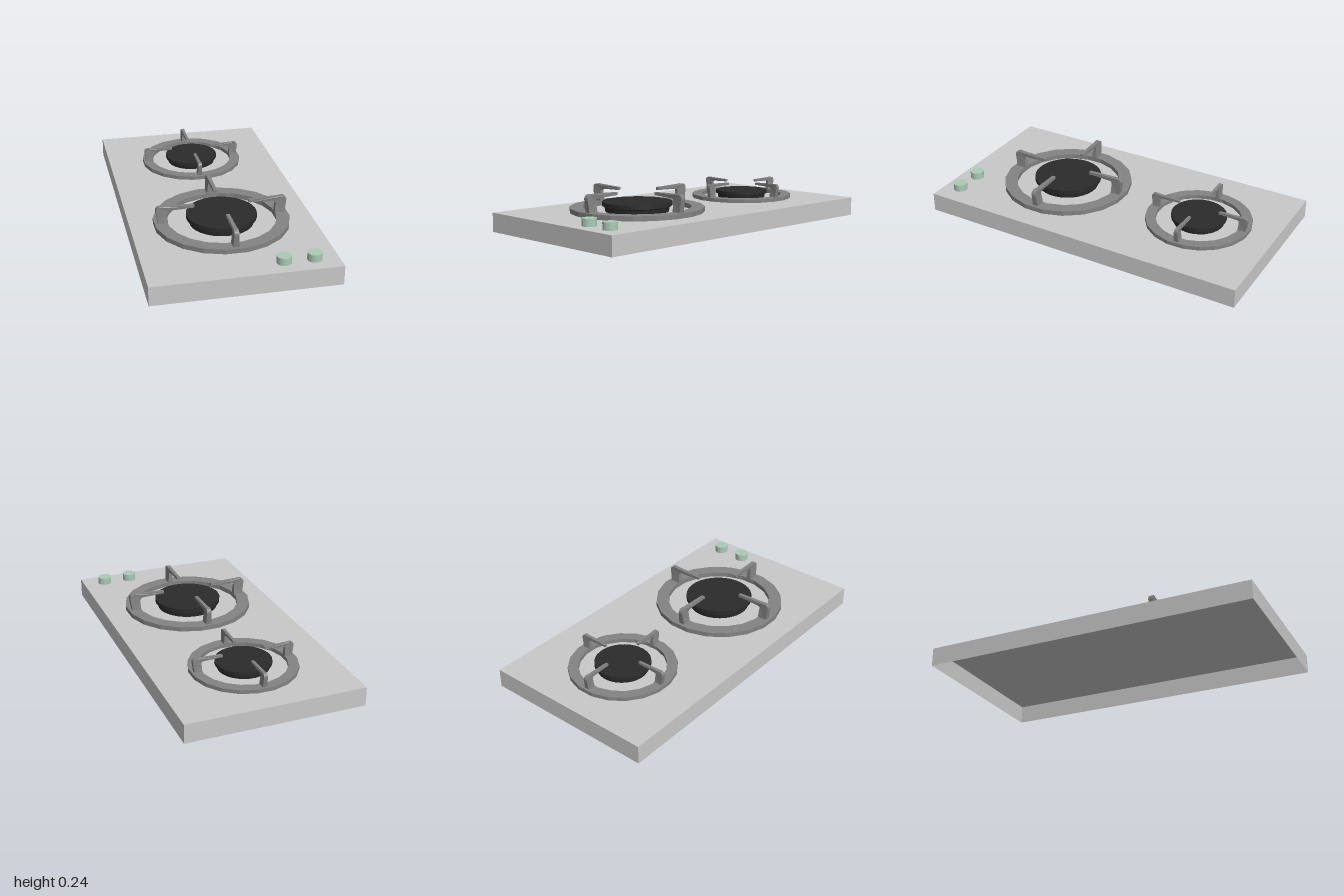
import * as THREE from 'three';

const DECK = 0.112; // height of the worktop surface

const material = (name, color) => {
  const m = new THREE.MeshStandardMaterial({ color });
  m.name = name;
  return m;
};

// Split vertices so every facet gets its own normal
function flat(geometry) {
  const g = geometry.index ? geometry.toNonIndexed() : geometry;
  g.computeVertexNormals();
  return g;
}

function addMesh(parent, name, geometry, mat) {
  const mesh = new THREE.Mesh(geometry, mat);
  mesh.name = name;
  parent.add(mesh);
  return mesh;
}

function lathe(points, sides) {
  const profile = points.map(([r, y]) => new THREE.Vector2(r, y));
  return flat(new THREE.LatheGeometry(profile, sides, Math.PI / sides));
}

// Hooked pan support: upright leg, rounded shoulder, thin arm reaching inward
function supportGeometry() {
  const s = new THREE.Shape();
  s.moveTo(0.312, 0.028);
  s.lineTo(0.369, 0.028);
  s.lineTo(0.38, 0.104);
  s.quadraticCurveTo(0.38, 0.13, 0.352, 0.13);
  s.lineTo(0.335, 0.129);
  s.lineTo(0.158, 0.124);
  s.lineTo(0.158, 0.108);
  s.lineTo(0.3, 0.103);
  s.quadraticCurveTo(0.316, 0.102, 0.316, 0.09);
  s.closePath();
  const g = new THREE.ExtrudeGeometry(s, { depth: 1, bevelEnabled: false, curveSegments: 4 });
  const p = g.attributes.position;
  for (let i = 0; i < p.count; i++) {
    // Narrow arm, wider shoulder, leg flaring toward its foot
    const x = p.getX(i), y = p.getY(i);
    const half = x < 0.34 && y > 0.08 ? 0.0105 : 0.013 + 0.004 * (0.13 - y) / 0.1;
    p.setZ(i, p.getZ(i) > 0.5 ? half : -half);
  }
  return flat(g);
}

export function createModel() {
  const model = new THREE.Group();
  model.name = 'gasHob';

  const steel = material('brushedSteel', 0xc8c8c8);
  steel.side = THREE.DoubleSide;
  const iron = material('greyIron', 0x838383);
  const black = material('blackEnamel', 0x2b2b2b);
  const green = material('paleGreen', 0xabcab6);

  // Housing: a thin tray, open underneath
  const tray = new THREE.BoxGeometry(1.05, DECK, 2);
  tray.setIndex([...tray.index.array].filter((_, i) => i < 18 || i >= 24));
  tray.clearGroups();
  addMesh(model, 'housing', tray, steel).position.y = DECK / 2;

  // Shared burner parts, measured from the worktop
  const ring = lathe([[0.392, 0], [0.392, 0.028], [0.316, 0.028], [0.316, 0]], 20);
  const base = lathe([[0.185, 0], [0.19, 0.028], [0.19, 0.032]], 32);
  const cap = lathe([[0.19, 0.028], [0.203, 0.034], [0.203, 0.058], [0, 0.058]], 32);
  const support = supportGeometry();

  for (const [name, z, scale] of [['frontBurner', 0.36, 1], ['rearBurner', -0.535, 0.8]]) {
    const burner = new THREE.Group();
    burner.name = name;
    burner.position.set(0, DECK, z);
    burner.scale.setScalar(scale);
    addMesh(burner, 'supportRing', ring, iron);
    addMesh(burner, 'burnerBase', base, black);
    addMesh(burner, 'burnerCap', cap, black);
    for (let i = 0; i < 4; i++) {
      addMesh(burner, 'panSupport', support, iron).rotation.y = i * Math.PI / 2;
    }
    model.add(burner);
  }

  // Control knobs
  const knob = flat(new THREE.CylinderGeometry(0.041, 0.041, 0.043, 16));
  for (const x of [0.22, 0.39]) {
    addMesh(model, 'controlKnob', knob, green).position.set(x, DECK + 0.0215, 0.895);
  }

  return model;
}
